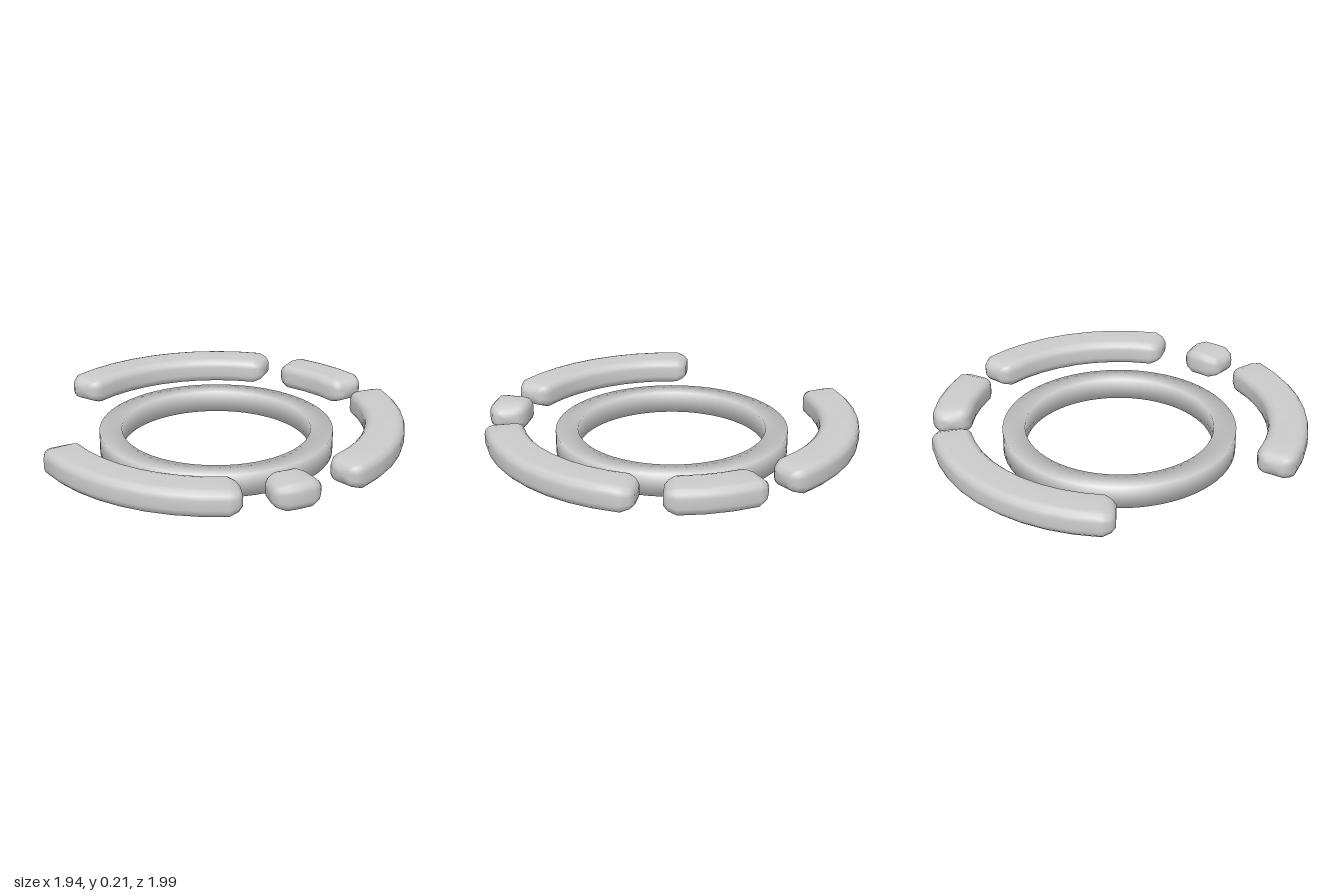
import * as THREE from 'three';

const CENTRE_X = -0.03;
const RAD = Math.PI / 180;

// Skin a loop of sections [radial, height] placed at angles around the y axis
function sweep(sections, angles, closed) {
  const n = sections[0].length, m = sections.length;
  const pos = [], idx = [];
  sections.forEach((sec, i) => {
    for (const [r, y] of sec) pos.push(r * Math.cos(angles[i]), y, r * Math.sin(angles[i]));
  });
  for (let i = 0; i < (closed ? m : m - 1); i++) {
    const k = (i + 1) % m;
    for (let j = 0; j < n; j++) {
      const l = (j + 1) % n;
      idx.push(i * n + j, i * n + l, k * n + l, i * n + j, k * n + l, k * n + j);
    }
  }
  if (!closed) {
    // Fan caps on both ends
    for (const i of [0, m - 1]) {
      const c = pos.length / 3;
      const mid = [0, 1].map((q) => sections[i].reduce((s, p) => s + p[q], 0) / n);
      pos.push(mid[0] * Math.cos(angles[i]), mid[1], mid[0] * Math.sin(angles[i]));
      for (let j = 0; j < n; j++) {
        const a = i * n + j, b = i * n + (j + 1) % n;
        if (i === 0) idx.push(c, b, a); else idx.push(c, a, b);
      }
    }
  }
  const g = new THREE.BufferGeometry();
  g.setAttribute('position', new THREE.Float32BufferAttribute(pos, 3));
  g.setIndex(idx);
  g.computeVertexNormals();
  return g;
}

// Rounded rectangle section, counter-clockwise
function roundedSection(r, y, halfW, halfH, radius) {
  const pts = [];
  [[1, 1], [-1, 1], [-1, -1], [1, -1]].forEach(([sx, sy], q) => {
    for (let k = 0; k <= 3; k++) {
      const a = (q + k / 3) * Math.PI / 2;
      pts.push([
        r + sx * (halfW - radius) + radius * Math.cos(a),
        y + sy * (halfH - radius) + radius * Math.sin(a),
      ]);
    }
  });
  return pts;
}

// Curved bar whose ends taper in rounded steps
function arcBar(from, to) {
  const R = 0.895, a0 = from * RAD, a1 = to * RAD;
  const taper = [[0, 0.045], [0.02, 0.02], [0.06, 0]];
  const stations = taper.map(([s, inset]) => [a0 + s / R, inset]);
  const begin = a0 + 0.06 / R, end = a1 - 0.06 / R;
  const steps = Math.max(2, Math.round((end - begin) / (8 * RAD)));
  for (let i = 1; i < steps; i++) stations.push([begin + (end - begin) * i / steps, 0]);
  [...taper].reverse().forEach(([s, inset]) => stations.push([a1 - s / R, inset]));
  const sections = stations.map(([, d]) =>
    roundedSection(R, 0.14, 0.105 - d, 0.07 - d * 0.8, 0.045 - d * 0.5));
  return sweep(sections, stations.map((s) => s[0]), false);
}

export function createModel() {
  const group = new THREE.Group();
  const material = new THREE.MeshStandardMaterial({ color: 0xcccccc });
  const add = (name, geometry) => {
    const mesh = new THREE.Mesh(geometry, material);
    mesh.name = name;
    mesh.position.x = CENTRE_X;
    group.add(mesh);
  };

  // Inner ring: square section with softened shading
  const profile = [[0.505, 0], [0.625, 0], [0.625, 0.12], [0.505, 0.12]];
  const N = 64;
  const angles = Array.from({ length: N }, (_, i) => i / N * Math.PI * 2);
  add('innerRing', sweep(angles.map(() => profile), angles, true));

  // Outer bars, in degrees from +x towards +z
  const bars = {
    leftLongBar: [-11.7, 59],
    frontShortBar: [70.2, 85.5],
    rightLongBar: [94, 163.7],
    backLongBar: [223, 301],
    backLeftShortBar: [309, 340.2],
  };
  for (const [name, [from, to]] of Object.entries(bars)) add(name, arcBar(from, to));

  return group;
}
